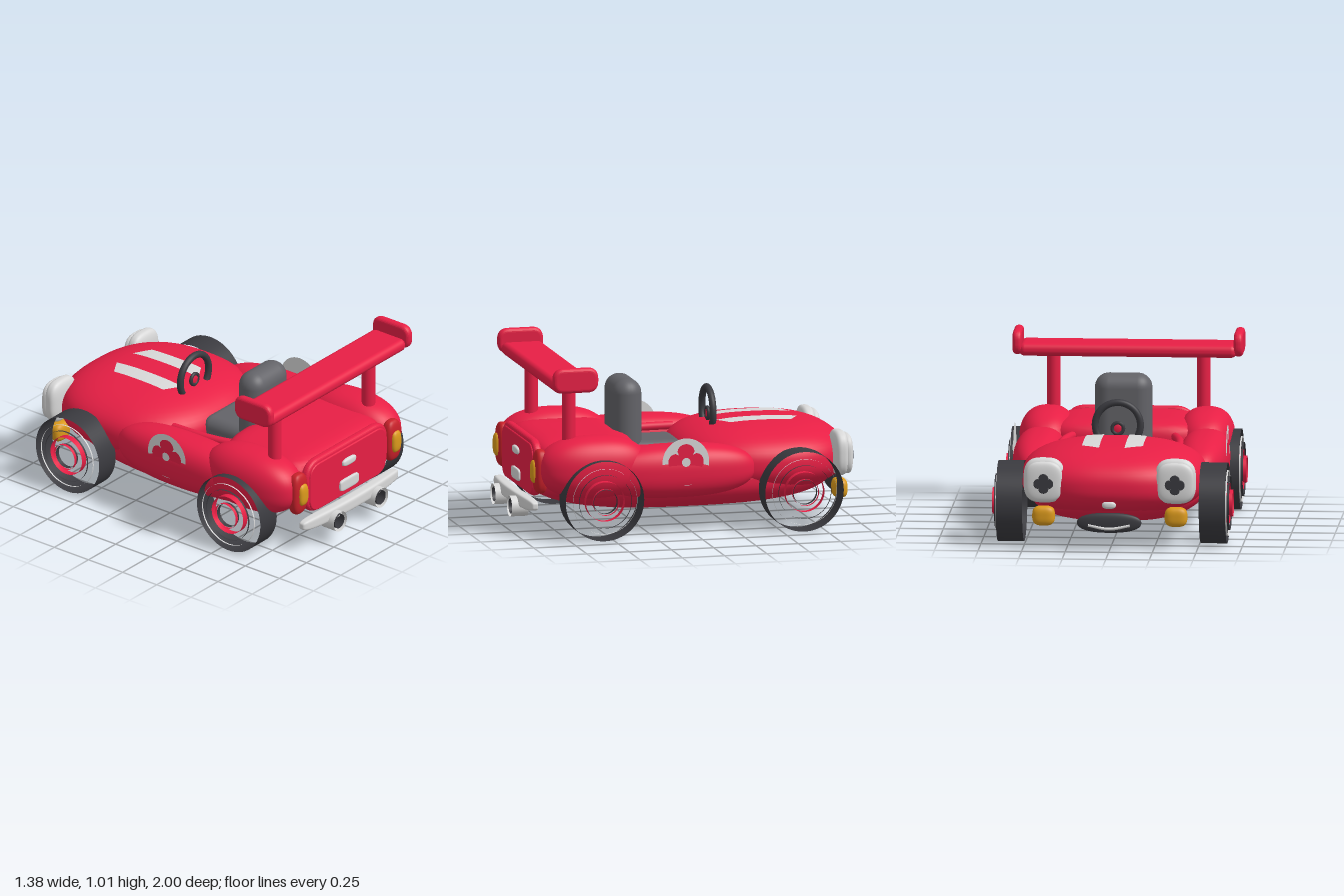
import * as THREE from 'three';
import { RoundedBoxGeometry } from 'three/addons/geometries/RoundedBoxGeometry.js';

const mat = (name, color, side = THREE.FrontSide) => {
  const m = new THREE.MeshStandardMaterial({ color, side });
  m.name = name;
  return m;
};

// Superellipsoid with exponent n; the upper half may be flattened to height top.
function blob(rx, ry, rz, n, top = ry) {
  const g = new THREE.SphereGeometry(1, 56, 36);
  const p = g.attributes.position, nor = g.attributes.normal;
  const v = new THREE.Vector3();
  const pw = (a) => Math.sign(a) * Math.abs(a) ** (n - 1);
  for (let i = 0; i < p.count; i++) {
    v.fromBufferAttribute(p, i);
    v.divideScalar((Math.abs(v.x) ** n + Math.abs(v.y) ** n + Math.abs(v.z) ** n) ** (1 / n));
    const h = v.y > 0 ? top : ry;
    p.setXYZ(i, v.x * rx, v.y * h, v.z * rz);
    v.set(pw(v.x) / rx, pw(v.y) / h, pw(v.z) / rz).normalize();
    nor.setXYZ(i, v.x, v.y, v.z);
  }
  return g;
}

// Four-petalled outline
function flowerShape(r) {
  const pts = [];
  for (let i = 0; i < 64; i++) {
    const a = (i / 64) * Math.PI * 2;
    const d = r * (0.55 + 0.45 * Math.sqrt(Math.abs(Math.cos(2 * a))));
    pts.push(new THREE.Vector2(Math.cos(a) * d, Math.sin(a) * d));
  }
  return new THREE.Shape(pts);
}

// Rounded rectangle with half sizes w, h and corner size c
function roundRect(w, h, c) {
  return new THREE.Shape()
    .moveTo(-w + c, -h).lineTo(w - c, -h).quadraticCurveTo(w, -h, w, -h + c)
    .lineTo(w, h - c).quadraticCurveTo(w, h, w - c, h)
    .lineTo(-w + c, h).quadraticCurveTo(-w, h, -w, h - c)
    .lineTo(-w, -h + c).quadraticCurveTo(-w, -h, -w + c, -h);
}

// Extruded plate with softened edges; the outline grows by the bevel.
const softPlate = (shape, depth, bevel) => new THREE.ExtrudeGeometry(shape, {
  depth, bevelThickness: bevel, bevelSize: bevel, bevelSegments: 5, curveSegments: 14,
});

// Tube through a few points
const tube = (pts, r) => new THREE.TubeGeometry(
  new THREE.CatmullRomCurve3(pts.map((p) => new THREE.Vector3(...p))), 24, r, 12);

export function createModel() {
  const D = THREE.DoubleSide;
  const red = mat('body red', 0xe81f45, D);
  const rubber = mat('rubber black', 0x3a3a3f, D);
  const seatGrey = mat('seat grey', 0x636368);
  const silver = mat('silver', 0xd8d8d8, D);
  const amber = mat('amber', 0xdb9a1c);
  const lampRed = mat('tail lamp red', 0xc8202a);

  const root = new THREE.Group();
  root.name = 'racingCar';
  const add = (name, geo, m, x = 0, y = 0, z = 0, parent = root) => {
    const mesh = new THREE.Mesh(geo, m);
    mesh.name = name;
    mesh.position.set(x, y, z);
    parent.add(mesh);
    return mesh;
  };
  const rbox = (w, h, d, r) => new RoundedBoxGeometry(w, h, d, 5, r);

  // Body shells
  const hood = { y: 0.365, z: -0.495, rx: 0.53, ry: 0.205, rz: 0.505, n: 2.5 };
  add('hull', blob(0.52, 0.195, 0.9, 2.7, 0.02), red, 0, 0.29, -0.03);
  add('hood', blob(hood.rx, hood.ry, hood.rz, hood.n), red, 0, hood.y, hood.z);
  add('rearDeck', blob(0.43, 0.175, 0.31, 5), red, 0, 0.37, 0.58);
  add('cockpitFloor', new THREE.BoxGeometry(0.74, 0.02, 0.5), rubber, 0, 0.32, 0.08);

  // Seat and steering wheel
  add('seatBack', rbox(0.33, 0.5, 0.17, 0.083), seatGrey, 0, 0.58, 0.28);
  add('seatCushion', rbox(0.33, 0.14, 0.34, 0.06), seatGrey, 0, 0.4, 0.12);
  add('steeringWheel', new THREE.TorusGeometry(0.13, 0.02, 14, 48), rubber, 0, 0.61, -0.22);
  add('steeringHubRing', new THREE.TorusGeometry(0.032, 0.011, 10, 28), rubber, 0, 0.59, -0.22);
  add('steeringHub', blob(0.03, 0.03, 0.01, 2), red, 0, 0.59, -0.22);
  add('steeringSpoke', rbox(0.03, 0.08, 0.015, 0.007), rubber, 0, 0.525, -0.22);

  // Hood stripes lying on the curved surface, with slanted ends
  const stripeGeo = (s) => {
    const g = new THREE.PlaneGeometry(1, 1, 8, 30);
    const p = g.attributes.position;
    for (let i = 0; i < p.count; i++) {
      const u = s * p.getX(i) + 0.5, v = 0.5 - p.getY(i);
      const x = 0.073 + 0.102 * u;
      const z0 = -0.73 + 0.06 * u, z1 = -0.25 - 0.06 * u;
      const z = z0 + (z1 - z0) * v;
      const k = 1 - (x / hood.rx) ** hood.n - Math.abs((z - hood.z) / hood.rz) ** hood.n;
      p.setXYZ(i, s * x, hood.y + hood.ry * k ** (1 / hood.n) + 0.005, z);
    }
    g.computeVertexNormals();
    return g;
  };

  // Flat side roundel: [name, geometry, material, x]
  const roundel = [
    ['Roundel', new THREE.CircleGeometry(0.138, 48), silver, 0.611],
    ['RoundelFlower', new THREE.ShapeGeometry(flowerShape(0.105)), red, 0.614],
    ['RoundelDot', new THREE.CircleGeometry(0.026, 24), silver, 0.621],
  ];

  // Wheel made of open concentric bands: [name, radius, inner x, outer x, material]
  const bands = [
    ['tyreTread', 0.232, 0.507, 0.658, rubber],
    ['rimEdge', 0.19, 0.655, 0.664, silver],
    ['rimBand', 0.155, 0.662, 0.674, rubber],
    ['rimInner', 0.115, 0.63, 0.67, red],
    ['hubCore', 0.07, 0.65, 0.677, rubber],
    ['hubBand', 0.077, 0.67, 0.69, red],
  ];

  for (const s of [1, -1]) {
    const side = s > 0 ? 'left' : 'right';
    const addS = (name, geo, m, x, y, z) => add(side + name, geo, m, s * x, y, z);

    addS('SidePod', blob(0.145, 0.155, 0.47, 2.5), red, 0.473, 0.36, 0.095);
    addS('RearFender', blob(0.163, 0.18, 0.32, 2.4), red, 0.455, 0.4, 0.575);
    add(side + 'HoodStripe', stripeGeo(s), silver);

    // Curved rim along the cockpit opening
    const rim = [[0.345, 0.46, -0.1], [0.335, 0.46, 0.1], [0.31, 0.46, 0.24], [0.28, 0.46, 0.33]];
    add(side + 'CockpitRim', tube(rim.map(([x, y, z]) => [s * x, y, z]), 0.024), red);

    for (const [name, geo, m, x] of roundel) {
      addS(name, geo, m, x, 0.43, 0.065).rotation.y = s * Math.PI / 2;
    }

    for (const [end, z] of [['Front', -0.625], ['Rear', 0.555]]) {
      const wheel = new THREE.Group();
      wheel.name = side + end + 'Wheel';
      wheel.position.set(0, 0.232, z);
      root.add(wheel);
      for (const [name, r, a, b, m] of bands) {
        const g = new THREE.CylinderGeometry(r, r, b - a, 56, 1, true).rotateZ(Math.PI / 2);
        add(name, g, m, s * (a + b) / 2, 0, 0, wheel);
      }
    }

    // Headlights and indicators on the nose
    addS('HeadlightHousing', blob(0.118, 0.13, 0.045, 3), silver, 0.377, 0.4, -0.898);
    addS('HeadlightLens', blob(0.108, 0.116, 0.03, 3), silver, 0.377, 0.395, -0.938);
    addS('HeadlightFlower', softPlate(flowerShape(0.054), 0.002, 0.003), rubber, 0.377, 0.388, -0.971);
    addS('Indicator', blob(0.065, 0.057, 0.042, 3), amber, 0.38, 0.194, -0.902);

    // Rear wing supports and end plates
    addS('WingPost', new THREE.CylinderGeometry(0.039, 0.039, 0.42, 28), red, 0.43, 0.68, 0.712);
    const endPlate = softPlate(roundRect(0.112, 0.05, 0.04), 0.008, 0.022);
    addS('WingEndPlate', endPlate.translate(0, 0, -0.004), red, 0.635, 0.942, 0.725)
      .rotation.y = Math.PI / 2;

    // Tail lamps and exhausts
    addS('TailLamp', blob(0.062, 0.128, 0.04, 3), lampRed, 0.43, 0.382, 0.88);
    addS('TailLampCentre', blob(0.038, 0.068, 0.03, 3), amber, 0.427, 0.382, 0.907);
    const pipe = (r, l) => new THREE.CylinderGeometry(r, r, l, 32, 1, true).rotateX(Math.PI / 2);
    addS('ExhaustPipe', pipe(0.06, 0.1), silver, 0.19, 0.14, 0.95);
    addS('ExhaustInner', pipe(0.043, 0.08), rubber, 0.19, 0.14, 0.955);
  }

  // Wing blade
  add('wingBlade', rbox(1.25, 0.074, 0.245, 0.034), red, 0, 0.901, 0.72);

  // Tail panel, plate and handle
  add('tailPanelRim', softPlate(roundRect(0.355, 0.145, 0.1), 0.01, 0.02), red, 0, 0.377, 0.87);
  add('tailPanel', softPlate(roundRect(0.342, 0.14, 0.08), 0.006, 0.008), red, 0, 0.37, 0.894);
  add('tailHandle', blob(0.06, 0.023, 0.018, 3), silver, 0, 0.43, 0.91);
  add('tailPlate', blob(0.085, 0.035, 0.014, 5), silver, 0, 0.292, 0.91);

  // Rear bumper, bowed forward at its ends
  const bumper = blob(0.437, 0.038, 0.034, 4.5);
  const bp = bumper.attributes.position;
  for (let i = 0; i < bp.count; i++) bp.setZ(i, bp.getZ(i) - 0.13 * bp.getX(i) ** 2);
  add('rearBumper', bumper, silver, 0, 0.178, 0.935);

  // Nose intake with a curved bar, and badge
  add('noseIntake', blob(0.185, 0.058, 0.024, 2.3), rubber, 0, 0.165, -0.96);
  const bar = [[-0.12, 0.152, -0.975], [0, 0.132, -0.982], [0.12, 0.152, -0.975]];
  add('intakeBar', tube(bar, 0.009), silver);
  add('noseBadge', blob(0.04, 0.022, 0.02, 2.5), silver, 0, 0.27, -0.975);

  return root;
}
